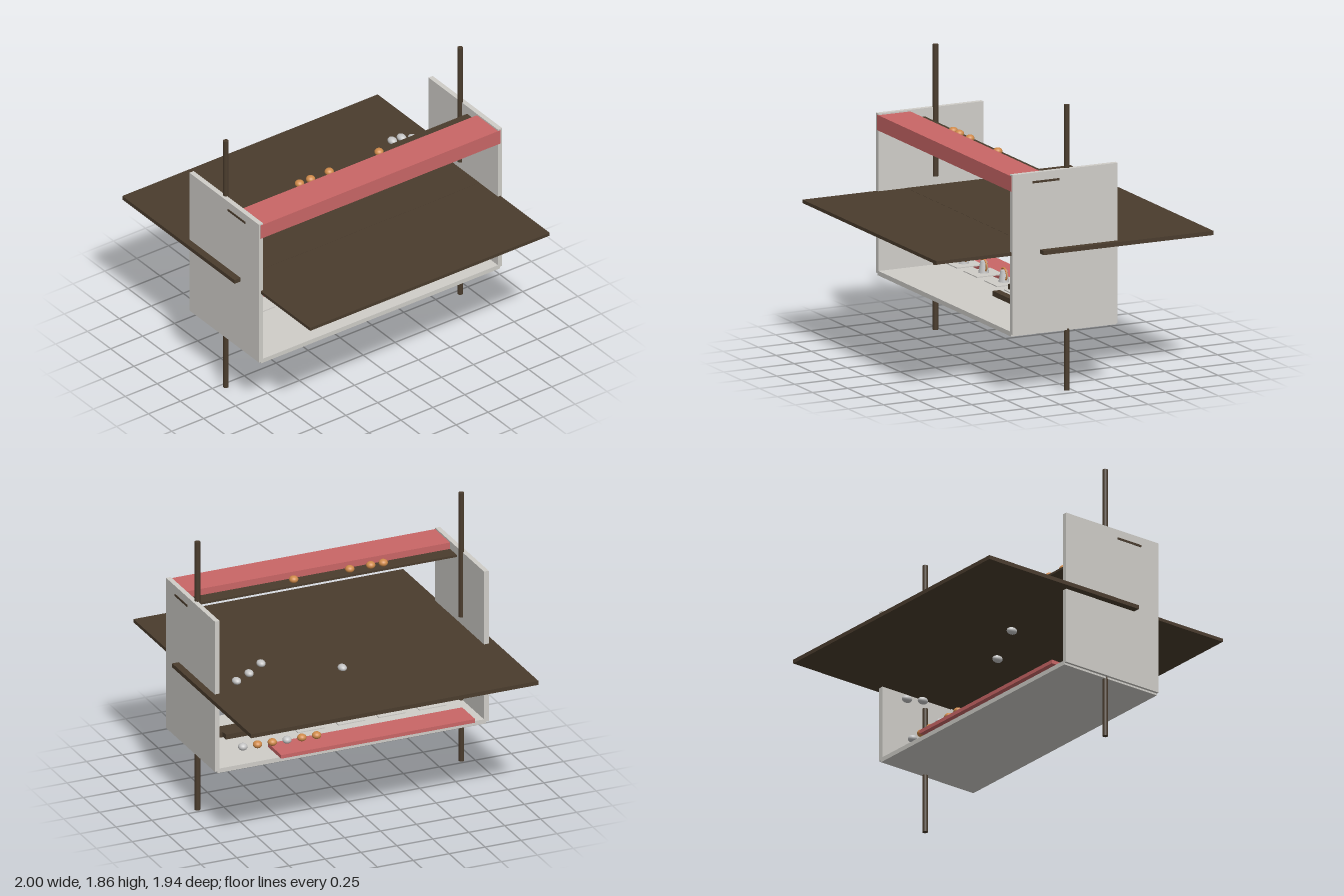
import * as THREE from 'three';

export function createModel() {
  const root = new THREE.Group();
  const mat = (name, color) => {
    const m = new THREE.MeshStandardMaterial({ color });
    m.name = name;
    return m;
  };
  const dark = mat('dark wood', 0x4a3c2d);
  const pink = mat('coral paint', 0xc96666);
  const pale = mat('pale board', 0xcfcdc8);
  const orange = mat('orange', 0xcf8a4a);
  const silver = mat('light grey', 0xc4c4c4);

  const add = (name, geometry, material, x, y, z) => {
    const m = new THREE.Mesh(geometry, material);
    m.name = name;
    m.position.set(x, y, z);
    root.add(m);
    return m;
  };
  // box given by its limits on each axis
  const box = (name, material, [x0, x1], [y0, y1], [z0, z1]) =>
    add(name, new THREE.BoxGeometry(x1 - x0, y1 - y0, z1 - z0), material,
      (x0 + x1) / 2, (y0 + y1) / 2, (z0 + z1) / 2);

  // open case: floor and two side panels
  box('caseFloor', pale, [-0.935, 0.935], [0.395, 0.425], [-0.31, 0.437]);
  for (const s of [-1, 1]) {
    const side = s > 0 ? 'left' : 'right';
    const xs = s > 0 ? [0.92, 0.953] : [-0.953, -0.92];
    box(side + 'Panel', pale, xs, [0.408, 1.45], [-0.31, 0.437]);
    // posts in a lower and an upper length
    for (const [part, y] of [['Lower', 0.43], ['Upper', 1.43]]) {
      add(side + part + 'Post', new THREE.CylinderGeometry(0.018, 0.018, 0.86, 20), dark, s * 0.918, y, 0.033);
    }
  }

  // middle shelf with a front leaf
  box('mainShelf', dark, [-1, 1], [0.918, 0.945], [-0.968, 0.24]);
  box('frontLeaf', dark, [-0.938, 0.938], [0.922, 0.944], [0.24, 0.968]);

  // upper beam and the thin ledge passing through the panels
  box('topBeam', pink, [-0.94, 0.94], [1.34, 1.44], [0.21, 0.439]);
  box('topLedge', dark, [-0.957, 0.957], [1.382, 1.396], [0.106, 0.295]);

  // low board at the back of the floor
  box('floorBoard', pink, [-0.845, 0.505], [0.428, 0.453], [-0.34, -0.14]);

  // stepped rack of slats
  for (let i = 0; i < 3; i++) {
    const y = 0.455 + i * 0.0333, z = 0.13 - i * 0.11;
    box('rackSlat', dark, [0.122, 0.787], [y, y + 0.0335], [z - 0.025, z + 0.025]);
  }

  // small ovals
  const oval = new THREE.SphereGeometry(1, 20, 14);
  const egg = (name, material, x, y, z, rx, ry, rz) =>
    add(name, oval, material, x, y, z).scale.set(rx, ry, rz);
  for (const [x, y, z] of [[0.625, 1.095, -0.295], [0.725, 1.06, -0.333], [0.812, 1.023, -0.333],
    [0.055, 0.955, -0.285], [-0.425, 0.81, -0.33], [-0.295, 0.657, -0.343],
    [0.505, 0.667, -0.312], [0.64, 0.722, -0.333]]) {
    egg('pebble', silver, x, y, z, 0.028, 0.023, 0.036);
  }
  for (const x of [-0.43, -0.343, -0.197, 0.193]) {
    egg('ledgeBall', orange, x, 1.414, 0.155, 0.03, 0.024, 0.03);
  }
  for (let i = 0; i < 6; i++) {
    egg('rowBall', i % 3 === 0 ? silver : orange, 0.72 - i * 0.1, 0.505, -0.225 - i * 0.006, 0.03, 0.024, 0.03);
  }

  // cups on trays, each with an upright ring
  for (const x of [-0.648, -0.367, -0.086, 0.196]) {
    box('cupTray', pale, [x - 0.094, x + 0.094], [0.478, 0.484], [-0.125, 0.065]);
    add('cup', new THREE.CylinderGeometry(0.022, 0.034, 0.075, 24), silver, x, 0.5215, -0.03);
    add('cupRing', new THREE.TorusGeometry(0.041, 0.006, 10, 32), orange, x, 0.531, -0.03);
  }
  return root;
}
